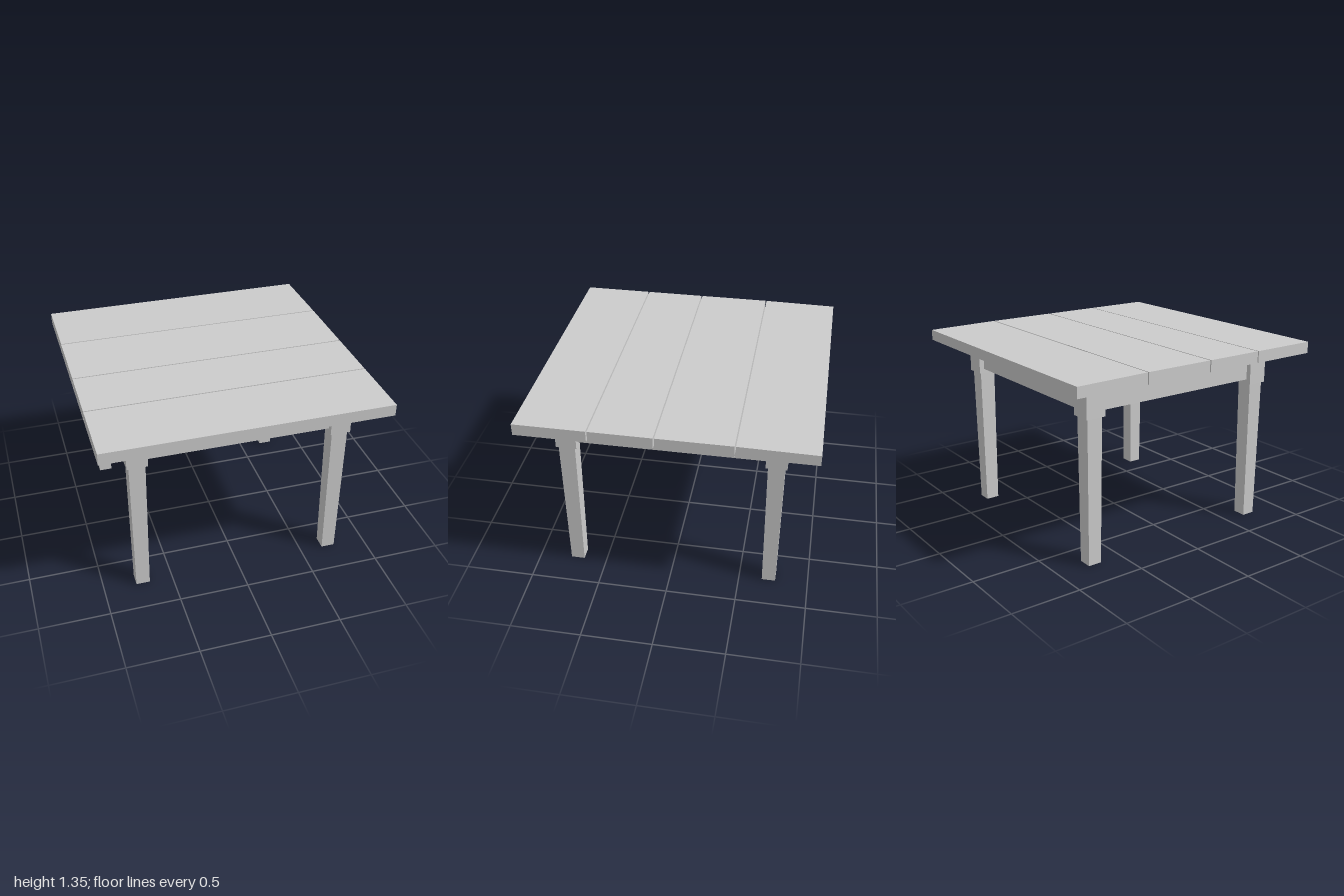
import * as THREE from 'three';

const material = new THREE.MeshStandardMaterial({ color: 0xcccccc, flatShading: true });

const TOP = 1.353, UNDERSIDE = 1.27;   // tabletop heights
const LEG = 0.717;                     // leg centre offset in x and z

function addBox(parent, name, size, position) {
  const mesh = new THREE.Mesh(new THREE.BoxGeometry(...size), material);
  mesh.name = name;
  mesh.position.set(...position);
  parent.add(mesh);
  return mesh;
}

// Square post, wider at the top than at the foot
function taperedPost(topWidth, footWidth, height) {
  const geometry = new THREE.BoxGeometry(1, height, 1);
  const p = geometry.attributes.position;
  for (let i = 0; i < p.count; i++) {
    const w = p.getY(i) > 0 ? topWidth : footWidth;
    p.setX(i, p.getX(i) * w);
    p.setZ(i, p.getZ(i) * w);
  }
  geometry.computeVertexNormals();
  return geometry;
}

export function createModel() {
  const table = new THREE.Group();
  table.name = 'table';

  // Four planks with narrow gaps, running along x
  const planks = [[-1, -0.465], [-0.456, 0.057], [0.066, 0.496], [0.505, 1]];
  planks.forEach(([z0, z1], i) => {
    const plank = addBox(table, 'plank', [2, TOP - UNDERSIDE, z1 - z0],
      [0, (TOP + UNDERSIDE) / 2, (z0 + z1) / 2]);
    // The rear plank dips very slightly toward its outer edge
    if (i === 0) {
      const p = plank.geometry.attributes.position;
      for (let k = 0; k < p.count; k++) {
        if (p.getY(k) > 0 && p.getZ(k) < 0) p.setY(k, p.getY(k) - 0.006);
      }
      plank.geometry.computeVertexNormals();
    }
  });

  // Aprons between the corner blocks
  const apronHeight = UNDERSIDE - 1.075, apronY = (UNDERSIDE + 1.075) / 2;
  for (const s of [-1, 1]) {
    addBox(table, 'longApron', [1.3, apronHeight, 0.072], [0, apronY, s * LEG]);
    addBox(table, 'sideApron', [0.072, apronHeight, 1.3], [s * LEG, apronY, 0]);
  }

  // Legs with square corner blocks
  const blockBottom = 1.043;
  const legGeometry = taperedPost(0.115, 0.098, blockBottom);
  for (const sx of [-1, 1]) {
    for (const sz of [-1, 1]) {
      addBox(table, 'cornerBlock', [0.145, UNDERSIDE - blockBottom, 0.145],
        [sx * LEG, (UNDERSIDE + blockBottom) / 2, sz * LEG]);
      const leg = new THREE.Mesh(legGeometry, material);
      leg.name = 'leg';
      leg.position.set(sx * LEG, blockBottom / 2, sz * LEG);
      table.add(leg);
    }
  }
  return table;
}
